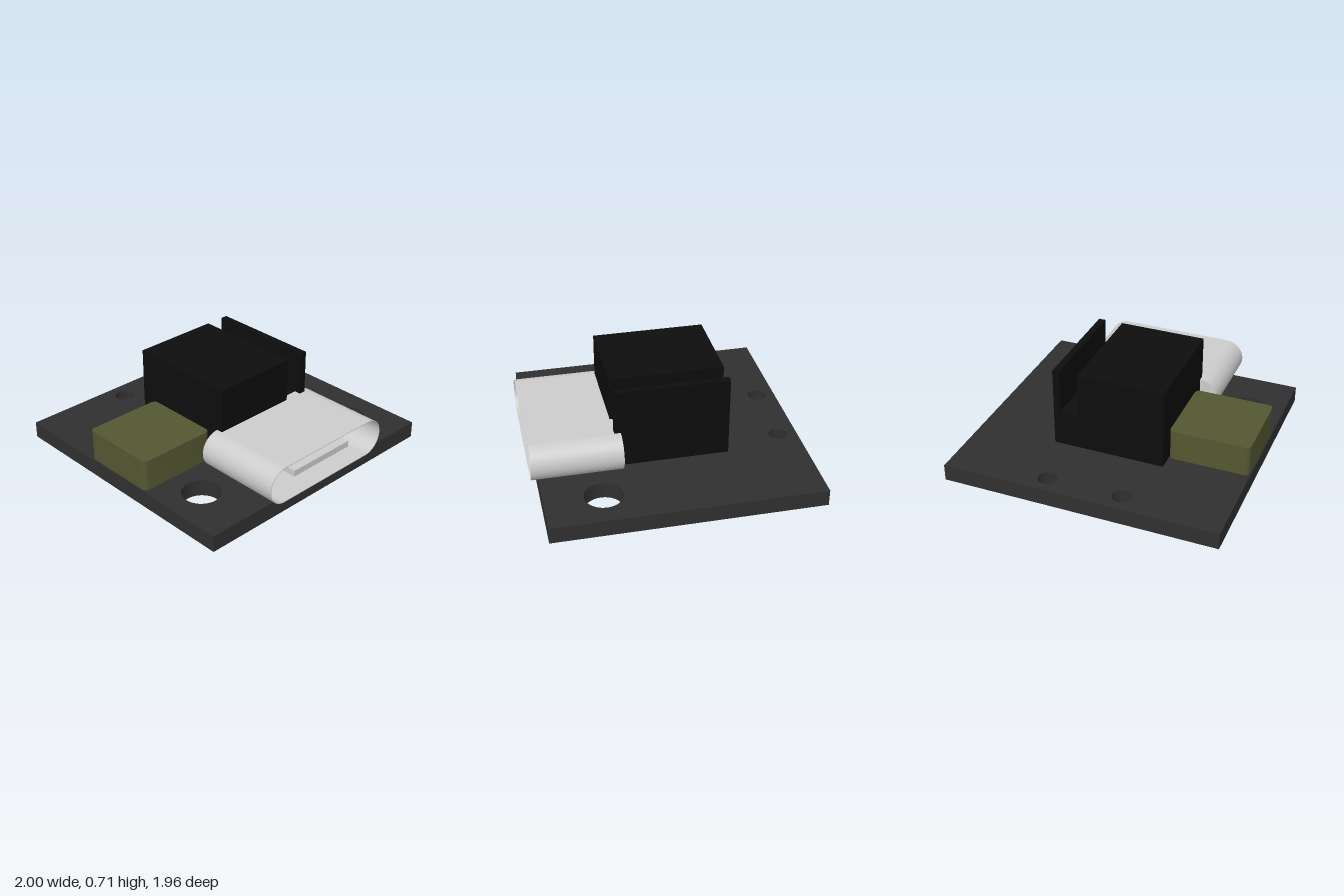
import * as THREE from 'three';
import { toCreasedNormals } from 'three/addons/utils/BufferGeometryUtils.js';

const mat = (name, color) => {
  const m = new THREE.MeshStandardMaterial({ color });
  m.name = name;
  return m;
};

// Rounded rectangle centred on (cx, cy); works as a Shape or as a hole Path
function roundedRect(path, cx, cy, w, h, r) {
  const x = w / 2 - r, y = h / 2 - r;
  path.absarc(cx + x, cy - y, r, -Math.PI / 2, 0, false);
  path.absarc(cx + x, cy + y, r, 0, Math.PI / 2, false);
  path.absarc(cx - x, cy + y, r, Math.PI / 2, Math.PI, false);
  path.absarc(cx - x, cy - y, r, Math.PI, Math.PI * 1.5, false);
  path.closePath();
  return path;
}

function extrude(shape, depth, curveSegments = 16) {
  const g = new THREE.ExtrudeGeometry(shape, { depth, bevelEnabled: false, curveSegments });
  return toCreasedNormals(g, 0.6);
}

export function createModel() {
  const group = new THREE.Group();
  const boardMat = mat('boardCharcoal', 0x303030);
  const black = mat('housingBlack', 0x0d0d0d);
  const metal = mat('shellGrey', 0xcccccc);
  const olive = mat('componentOlive', 0x545731);

  const add = (name, geometry, material) => {
    const mesh = new THREE.Mesh(geometry, material);
    mesh.name = name;
    group.add(mesh);
    return mesh;
  };
  const box = (name, material, [x0, x1], [y0, y1], [z0, z1]) =>
    add(name, new THREE.BoxGeometry(x1 - x0, y1 - y0, z1 - z0), material)
      .position.set((x0 + x1) / 2, (y0 + y1) / 2, (z0 + z1) / 2);

  // Board with two large mounting holes and two small pin holes
  const board = new THREE.Shape([
    [-1, -0.93], [1, -0.93], [1, 0.98], [-1, 0.98],
  ].map(([x, y]) => new THREE.Vector2(x, y)));
  for (const side of [-1, 1]) {
    for (const [x, z, r] of [[0.725, 0.52, 0.135], [0.272, -0.845, 0.068]]) {
      board.holes.push(new THREE.Path().absarc(side * x, -z, r, 0, Math.PI * 2, true));
    }
  }
  add('board', extrude(board, 0.12, 32).rotateX(-Math.PI / 2), boardMat);

  // Housing with a groove running front to back
  const housing = new THREE.Shape([
    [-0.41, 0.12], [0.41, 0.12], [0.41, 0.71], [0.36, 0.71],
    [0.36, 0.386], [0.225, 0.386], [0.225, 0.71], [-0.41, 0.71],
  ].map(([x, y]) => new THREE.Vector2(x, y)));
  add('housing', extrude(housing, 0.815).translate(0, 0, -0.43), black);

  // Thin metal plug shell, open at the front and closed at the back
  const shell = roundedRect(new THREE.Shape(), 0, 0.255, 1.09, 0.27, 0.135);
  shell.holes.push(roundedRect(new THREE.Path(), 0, 0.255, 1.08, 0.26, 0.13));
  add('plugShell', extrude(shell, 0.64).translate(0, 0, 0.34), metal);
  const back = roundedRect(new THREE.Shape(), 0, 0.255, 1.084, 0.264, 0.132);
  add('plugShellBack', extrude(back, 0.008).translate(0, 0, 0.341), metal);

  // Contact tongue inside the shell
  box('contactTongue', metal, [-0.27, 0.27], [0.23, 0.275], [0.37, 0.93]);

  // Side component with softened upright corners
  const part = roundedRect(new THREE.Shape(), -0.7, 0.027, 0.58, 0.575, 0.035);
  add('sideComponent', extrude(part, 0.228, 6).rotateX(-Math.PI / 2).translate(0, 0.119, 0), olive);

  return group;
}
